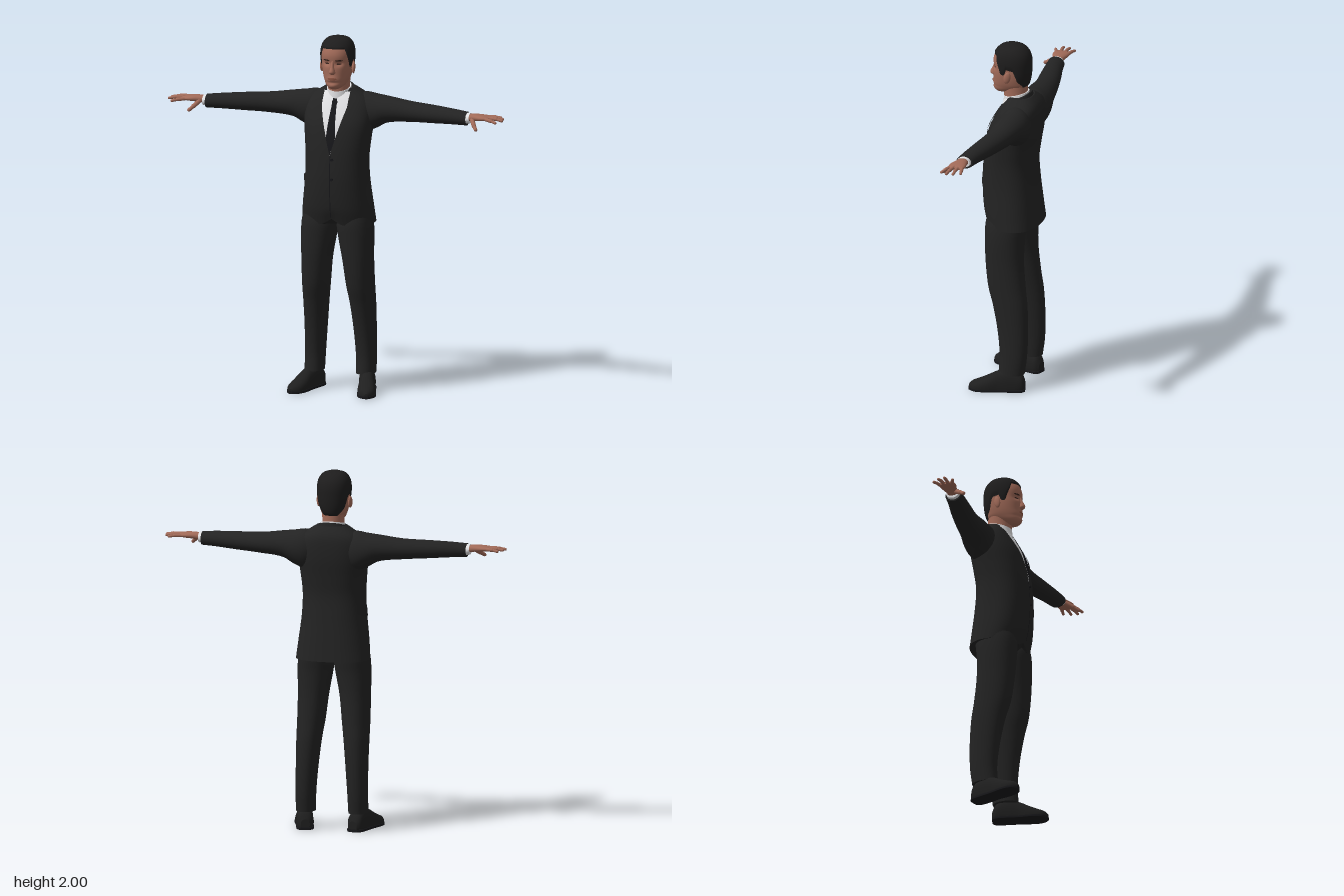
import * as THREE from 'three';
import { mergeGeometries } from 'three/addons/utils/BufferGeometryUtils.js';

const mat = (name, color) => Object.assign(new THREE.MeshStandardMaterial({ color }), { name });
const M = {
  suit: mat('suit cloth', 0x232323),
  skin: mat('skin', 0xa26b59),
  shirt: mat('shirt white', 0xe2e2e4),
  tie: mat('tie black', 0x17171a),
  hair: mat('hair', 0x1e1d1d),
  shoe: mat('shoe leather', 0x1f1f1f),
  brow: mat('brow and eye', 0x38241e),
  lips: mat('lips', 0x85503f),
};
M.hair.side = THREE.DoubleSide;

// Smooth (Hermite) lookup in rows sorted by their first column
function at(rows, k) {
  let i = 0;
  while (i < rows.length - 2 && k > rows[i + 1][0]) i++;
  const a = rows[i], b = rows[i + 1], h = b[0] - a[0];
  const t = THREE.MathUtils.clamp((k - a[0]) / h, 0, 1);
  const p = rows[i - 1] || a, q = rows[i + 2] || b;
  return a.map((v, c) => {
    const m0 = (b[c] - p[c]) / (b[0] - p[0]) * h, m1 = (q[c] - v) / (q[0] - a[0]) * h;
    return (2 * t ** 3 - 3 * t * t + 1) * v + (t ** 3 - 2 * t * t + t) * m0
      + (3 * t * t - 2 * t ** 3) * b[c] + (t ** 3 - t * t) * m1;
  });
}

// Row = [station, centre 1, radius 1, low 2, high 2]; the axis decides which coordinates these are
const ORDER = { y: [1, 0, 2], x: [0, 2, 1], z: [2, 1, 0] };
function ringPoint(rows, k, u, n = 2, axis = 'y', grow = 0) {
  const [, c1, r1, lo, hi] = at(rows, k), o = ORDER[axis], p = [0, 0, 0];
  const pow = v => Math.sign(v) * Math.abs(v) ** (2 / n);
  p[o[0]] = k;
  p[o[1]] = c1 + (r1 + grow) * pow(Math.cos(u));
  p[o[2]] = (lo + hi) / 2 + ((hi - lo) / 2 + grow) * pow(Math.sin(u));
  return p;
}

function build(pos, index) {
  const g = new THREE.BufferGeometry();
  g.setAttribute('position', new THREE.Float32BufferAttribute(pos, 3));
  g.setIndex(index);
  g.computeVertexNormals();
  return g;
}

// Closed loft with flat end caps
function loft(rows, { axis = 'y', n = 2, steps = 32, seg = 40, warp = p => p } = {}) {
  const pos = [], idx = [], k0 = rows[0][0], k1 = rows[rows.length - 1][0];
  const ring = k => {
    const start = pos.length / 3;
    for (let j = 0; j < seg; j++) pos.push(...warp(ringPoint(rows, k, j / seg * Math.PI * 2, n, axis)));
    return start;
  };
  for (let i = 0; i <= steps; i++) ring(k0 + (k1 - k0) * i / steps);
  for (let i = 0; i < steps; i++) for (let j = 0; j < seg; j++) {
    const a = i * seg + j, b = i * seg + (j + 1) % seg;
    idx.push(a, a + seg, b, b, a + seg, b + seg);
  }
  for (const top of [false, true]) {
    const s = ring(top ? k1 : k0);
    for (let j = 1; j < seg - 1; j++) idx.push(s, ...(top ? [s + j + 1, s + j] : [s + j, s + j + 1]));
  }
  return build(pos, idx);
}

// Sheet from a point rule; v then u turn outward
function sheet(fn, nu, nv) {
  const pos = [], idx = [];
  for (let i = 0; i <= nv; i++) for (let j = 0; j <= nu; j++) pos.push(...fn(j / nu, i / nv));
  for (let i = 0; i < nv; i++) for (let j = 0; j < nu; j++) {
    const a = i * (nu + 1) + j, c = a + nu + 1;
    idx.push(a, a + 1, c, a + 1, c + 1, c);
  }
  return build(pos, idx);
}

// Thin plate lying on the front of a lofted body, between two edges given by height
function patch(rows, n, y0, y1, left, right, off, warp = p => p) {
  return sheet((u, v) => {
    const y = y0 + (y1 - y0) * v, [, , rx, lo, hi] = at(rows, y);
    const x = left(y) + (right(y) - left(y)) * u;
    const s = Math.max(0, 1 - Math.abs(x / rx) ** n) ** (1 / n);
    const p = warp([x, y, (lo + hi) / 2 + (hi - lo) / 2 * s]);
    return [p[0], p[1], p[2] + off];
  }, 10, 24);
}
const oval = (cx, cy, w, h, sign) => y => cx + sign * w * Math.sqrt(Math.max(0, 1 - ((y - cy) / h) ** 2));

// Tapering finger through points
function finger(points, radius) {
  return mergeGeometries(points.slice(1).map((b, i) => {
    const A = new THREE.Vector3(...points[i]), B = new THREE.Vector3(...b), d = B.clone().sub(A);
    const g = new THREE.CapsuleGeometry(radius * (1 - 0.18 * i), d.length(), 5, 10);
    g.applyQuaternion(new THREE.Quaternion().setFromUnitVectors(new THREE.Vector3(0, 1, 0), d.clone().normalize()));
    return g.translate(...A.add(B).multiplyScalar(0.5).toArray());
  }));
}

const TORSO = [
  [0.955, 0, 0.205, -0.175, 0.115], [1.05, 0, 0.195, -0.165, 0.14], [1.2, 0, 0.178, -0.15, 0.152],
  [1.32, 0, 0.174, -0.143, 0.147], [1.42, 0, 0.182, -0.155, 0.135], [1.52, 0, 0.193, -0.17, 0.11],
  [1.6, 0, 0.19, -0.173, 0.07], [1.65, 0, 0.165, -0.167, 0.04], [1.68, 0, 0.125, -0.15, 0.02],
  [1.705, 0, 0.085, -0.125, 0.005]];
const HEAD = [
  [1.715, 0, 0.026, 0.02, 0.085], [1.73, 0, 0.048, -0.03, 0.099], [1.76, 0, 0.066, -0.09, 0.104],
  [1.79, 0, 0.076, -0.1, 0.102], [1.83, 0, 0.083, -0.106, 0.102], [1.87, 0, 0.086, -0.108, 0.1],
  [1.91, 0, 0.087, -0.107, 0.101], [1.945, 0, 0.081, -0.097, 0.09], [1.97, 0, 0.067, -0.078, 0.071],
  [1.985, 0, 0.047, -0.055, 0.048], [1.994, 0, 0.012, -0.014, 0.012]];
const LEG = [
  [0.1, 0.148, 0.053, -0.125, 0.022], [0.2, 0.147, 0.055, -0.138, 0.015], [0.35, 0.141, 0.06, -0.142, 0.03],
  [0.5, 0.134, 0.068, -0.135, 0.06], [0.6, 0.127, 0.075, -0.122, 0.088], [0.75, 0.118, 0.084, -0.108, 0.106],
  [0.88, 0.107, 0.097, -0.11, 0.112], [0.96, 0.1, 0.1, -0.12, 0.112], [1.02, 0.1, 0.09, -0.12, 0.1]];
const SLEEVE = [
  [0.08, -0.07, 0.07, 1.5, 1.66], [0.14, -0.073, 0.088, 1.46, 1.679], [0.2, -0.072, 0.09, 1.478, 1.671],
  [0.27, -0.067, 0.082, 1.515, 1.662], [0.4, -0.056, 0.068, 1.53, 1.645], [0.55, -0.03, 0.06, 1.538, 1.637],
  [0.66, -0.008, 0.052, 1.544, 1.63], [0.75, 0.008, 0.047, 1.547, 1.622]];
const SHOE = [
  [-0.152, 0.03, 0.03, -0.025, 0.025], [-0.135, 0.04, 0.058, -0.042, 0.042], [-0.07, 0.04, 0.09, -0.046, 0.046],
  [0, 0.03, 0.08, -0.045, 0.046], [0.06, 0.02, 0.06, -0.05, 0.05], [0.11, 0.015, 0.044, -0.046, 0.047],
  [0.14, 0.015, 0.032, -0.032, 0.033], [0.157, 0.015, 0.014, -0.008, 0.01]];

export function createModel() {
  const model = new THREE.Group();
  model.name = 'man in suit';
  const add = (name, geo, m) => {
    const mesh = new THREE.Mesh(geo, m);
    mesh.name = name;
    model.add(mesh);
  };
  // Adds the left (+x) part and its mirror image
  const pair = (name, geo, m) => {
    const g = geo.clone().scale(-1, 1, 1), ix = g.index.array;
    for (let i = 0; i < ix.length; i += 3) [ix[i], ix[i + 1]] = [ix[i + 1], ix[i]];
    add('left ' + name, geo, m);
    add('right ' + name, g, m);
  };

  // Jacket with rounded front hem
  const hem = ([x, y, z]) => [x, y + (z > 0 ? 0.035 * Math.exp(-((x / 0.035) ** 2)) * Math.max(0, 1 - (y - 0.955) / 0.1) : 0), z];
  add('jacket body', loft(TORSO, { n: 2.4, steps: 50, seg: 64, warp: hem }), M.suit);
  pair('sleeve', loft(SLEEVE, { axis: 'x', steps: 40 }), M.suit);
  const v = y => 0.074 * Math.min(1, Math.max(0, (y - 1.355) / 0.26));
  add('shirt front', patch(TORSO, 2.4, 1.355, 1.69, y => -v(y), v, 0.003), M.shirt);
  const tieW = y => Math.min(v(y), y > 1.62 ? 0.012 + (y - 1.62) * 0.25 : 0.014 + (1.62 - y) * 0.07);
  add('tie', patch(TORSO, 2.4, 1.36, 1.668, y => -tieW(y), tieW, 0.008), M.tie);
  const lapel = y => v(y) + (y < 1.56 ? 0.058 * (y - 1.35) / 0.21 : y < 1.575 ? 0.03 : 0.045 - (y - 1.575) * 0.2);
  pair('lapel', patch(TORSO, 2.4, 1.35, 1.665, v, lapel, 0.007), M.suit);
  add('front closure', patch(TORSO, 2.4, 1.0, 1.355, () => -0.002, () => 0.003, 0.002), M.tie);
  for (const y of [1.22, 1.33])
    add('button', new THREE.CylinderGeometry(0.008, 0.008, 0.008, 16).rotateX(Math.PI / 2).translate(0.012, y, at(TORSO, y)[4] + 0.003), M.tie);
  pair('pocket flap', sheet((u, t) => ringPoint(TORSO, 1.19 + 0.04 * t, 1.0 - 0.92 * u, 2.4, 'y', 0.005), 16, 4), M.suit);
  add('breast pocket', patch(TORSO, 2.4, 1.49, 1.508, () => 0.085, () => 0.135, 0.004), M.suit);

  // Collars, tilted up at the nape
  const tilt = k => ([x, y, z]) => [x, y - k * (z + 0.03), z];
  add('shirt collar', loft([[1.63, 0, 0.074, -0.106, 0.048], [1.712, 0, 0.067, -0.098, 0.042]], { warp: tilt(0.25), steps: 8 }), M.shirt);
  add('jacket collar', loft([[1.62, 0, 0.105, -0.135, 0.02], [1.692, 0, 0.078, -0.113, 0.0]], { warp: tilt(0.4), steps: 8 }), M.suit);
  pair('collar point', patch(TORSO, 2.4, 1.625, 1.69, y => 0.012 + Math.max(0, 1.645 - y) * 1.1, y => 0.036 + (y - 1.625) * 0.5, 0.01), M.shirt);

  // Trousers and shoes
  pair('trouser leg', loft(LEG, { n: 2.2, steps: 44 }), M.suit);
  const place = g => g.rotateY(0.27).translate(0.175, 0, 0.022);
  const flat = ([x, y, z]) => [x, Math.max(0.008, y), z];
  pair('shoe', place(loft(SHOE, { axis: 'z', n: 2.3, warp: flat })), M.shoe);
  const sole = SHOE.map(r => [r[0] * 1.01, 0.008, 0.008, r[3] * 1.06, r[4] * 1.06]);
  pair('sole', place(loft(sole, { axis: 'z', n: 8 })), M.tie);

  // Cuffs and hands
  pair('shirt cuff', loft([[0.73, 0.008, 0.041, 1.553, 1.617], [0.768, 0.01, 0.038, 1.56, 1.617]], { axis: 'x', steps: 4 }), M.shirt);
  pair('palm', loft([[0.74, 0.01, 0.026, 1.568, 1.61], [0.79, 0.012, 0.034, 1.577, 1.615], [0.84, 0.016, 0.046, 1.582, 1.613],
    [0.875, 0.015, 0.043, 1.587, 1.608], [0.885, 0.015, 0.035, 1.592, 1.604]], { axis: 'x', n: 2.3, steps: 16, seg: 24 }), M.skin);
  const fingers = {
    'index finger': [[0.86, 1.597, 0.048], [0.905, 1.592, 0.066], [0.932, 1.586, 0.078]],
    'middle finger': [[0.865, 1.6, 0.026], [0.925, 1.598, 0.036], [0.958, 1.592, 0.041]],
    'ring finger': [[0.865, 1.599, 0.004], [0.92, 1.598, 0.004], [0.952, 1.593, 0.003]],
    'little finger': [[0.85, 1.597, -0.016], [0.9, 1.597, -0.027], [0.93, 1.592, -0.033]],
    thumb: [[0.785, 1.587, 0.035], [0.808, 1.563, 0.075], [0.826, 1.546, 0.1]],
  };
  for (const [name, pts] of Object.entries(fingers)) pair(name, finger(pts, name === 'thumb' ? 0.0125 : 0.0098), M.skin);

  // Head with eye sockets and chin pressed into the face
  const face = ([x, y, z]) => {
    const dent = (cx, cy, w, h) => Math.exp(-(((Math.abs(x) - cx) / w) ** 2) - ((y - cy) / h) ** 2);
    return [x, y, z > 0.03 ? z - 0.011 * dent(0.034, 1.862, 0.02, 0.014) + 0.005 * dent(0, 1.777, 0.025, 0.015)
      - 0.005 * dent(0, 1.755, 0.04, 0.008) + 0.004 * dent(0, 1.735, 0.02, 0.012) : z];
  };
  add('neck', loft([[1.62, 0, 0.066, -0.1, 0.04], [1.7, 0, 0.061, -0.092, 0.042], [1.79, 0, 0.063, -0.09, 0.045]], { steps: 10 }), M.skin);
  add('head', loft(HEAD, { n: 2.15, steps: 70, seg: 64, warp: face }), M.skin);
  add('nose', loft([[1.802, 0, 0.012, 0.08, 0.11], [1.81, 0, 0.018, 0.08, 0.122], [1.822, 0, 0.016, 0.08, 0.124],
    [1.845, 0, 0.01, 0.08, 0.113], [1.878, 0, 0.009, 0.07, 0.1]], { steps: 16, seg: 24 }), M.skin);
  pair('ear', new THREE.SphereGeometry(1, 20, 14).scale(0.01, 0.034, 0.019).rotateY(0.25).rotateX(-0.15).translate(0.09, 1.827, -0.004), M.skin);
  const feature = (x, y, w, h, off) => patch(HEAD, 2.15, y - h, y + h, oval(x, y, w, h, -1), oval(x, y, w, h, 1), off, face);
  pair('eye', feature(0.034, 1.86, 0.013, 0.0045, 0.002), M.brow);
  pair('eyebrow', feature(0.036, 1.88, 0.02, 0.004, 0.003), M.brow);
  add('mouth', feature(0, 1.777, 0.026, 0.007, 0.002), M.lips);

  // Hair: a cap over the skull whose lower edge follows the hairline, by angle from the front
  const LINE = [[0, 1.943], [0.8, 1.94], [1.0, 1.89], [1.2, 1.837], [1.42, 1.837], [1.5, 1.872],
    [1.85, 1.865], [2.1, 1.8], [2.6, 1.758], [3.2, 1.75]];
  const hairline = a => {
    const i = Math.max(1, LINE.findIndex(p => p[0] >= a)), [p, q] = [LINE[i - 1], LINE[i]];
    return p[1] + (q[1] - p[1]) * (a - p[0]) / (q[0] - p[0]);
  };
  add('hair', sheet((u, t) => {
    const a = (u * 2 - 1) * Math.PI, low = hairline(Math.abs(a));
    const y = low + (1.994 - low) * Math.sin(t * Math.PI / 2);
    const p = ringPoint(HEAD, y, Math.PI / 2 - a, 2.15, 'y', t === 1 ? -0.012 : 0.007 * Math.min(1, 0.3 + t * 6));
    return [p[0], y + 0.006 * t, p[2]];
  }, 96, 28), M.hair);

  return model;
}
